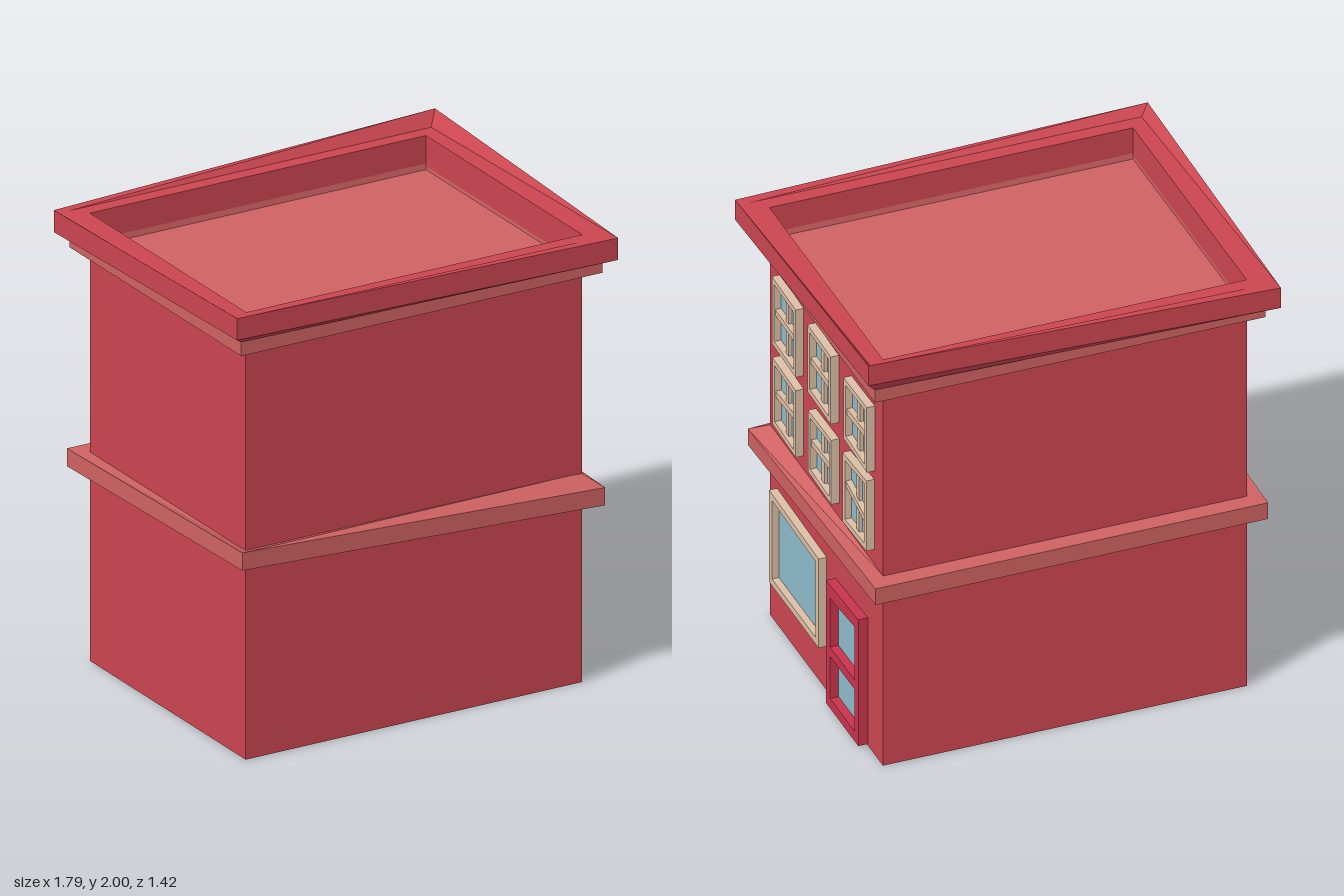
import * as THREE from 'three';

const mat = (color) => new THREE.MeshStandardMaterial({ color, flatShading: true });
const WALL = mat(0xcb4550), TRIM = mat(0xcf6262), DOOR = mat(0xc9344c);
const FRAME = mat(0xdcbfa6), GLASS = mat(0x90bccb);
const FACE = 0.785; // x of the wall that carries the windows
const CORNERS = [[1, 1], [1, -1], [-1, -1], [-1, 1]];

function add(parent, name, geometry, material) {
  const mesh = new THREE.Mesh(geometry, material);
  mesh.name = name;
  parent.add(mesh);
  return mesh;
}

// Rectangular band round the house: section(i) lists [halfX, halfZ, y] at corner i,
// from outer bottom to outer top and back along the inside
function band(section) {
  const rings = CORNERS.map(([sx, sz], i) => section(i).map(([x, z, y]) => [sx * x, y, sz * z]));
  const pos = [];
  for (let i = 0; i < 4; i++) {
    const p = rings[i], q = rings[(i + 1) % 4], n = p.length;
    for (let j = 0; j < n; j++) {
      const k = (j + 1) % n;
      pos.push(...p[j], ...q[j], ...q[k], ...p[j], ...q[k], ...p[k]);
    }
  }
  const g = new THREE.BufferGeometry();
  g.setAttribute('position', new THREE.Float32BufferAttribute(pos, 3));
  g.computeVertexNormals();
  return g;
}

// Crooked panel on the facade; quads are [z left, z right, bottom left, bottom right, top left, top right]
function panel(quad, holes, x0, x1) {
  const pts = ([l, r, bl, br, tl, tr]) =>
    [[-l, bl], [-r, br], [-r, tr], [-l, tl]].map(([a, b]) => new THREE.Vector2(a, b));
  const shape = new THREE.Shape(pts(quad));
  for (const h of holes) shape.holes.push(new THREE.Path(pts(h).reverse()));
  const g = new THREE.ExtrudeGeometry(shape, { depth: x1 - x0, bevelEnabled: false });
  return g.rotateY(Math.PI / 2).translate(x0, 0, 0);
}

const inset = ([l, r, bl, br, tl, tr], d) => [l - d, r + d, bl + d, br + d, tl - d, tr - d];

// Frame with glass behind; bar = [y left, y right] adds a cross of glazing bars
function makeWindow(name, quad, border, bar) {
  const g = new THREE.Group();
  g.name = name;
  const hole = inset(quad, border);
  add(g, 'windowFrame', panel(quad, [hole], FACE - 0.01, 0.82), FRAME);
  add(g, 'windowGlass', panel(hole, [], FACE - 0.01, FACE + 0.005), GLASS);
  if (bar) {
    const [l, r, bl, br, tl, tr] = hole, m = (l + r) / 2, w = 0.014;
    const b = (bl + br) / 2, t = (tl + tr) / 2;
    add(g, 'uprightBar', panel([m + w, m - w, b, b, t, t], [], FACE, 0.805), FRAME);
    add(g, 'crossBar', panel([l, r, bar[0] - w, bar[1] - w, bar[0] + w, bar[1] + w], [], FACE, 0.815), FRAME);
  }
  return g;
}

export function createModel() {
  const house = new THREE.Group();
  house.name = 'townhouse';

  // Walls and flat roof
  add(house, 'walls', new THREE.BoxGeometry(1.575, 1.785, 1.21), WALL).position.set(-0.0025, 0.8925, 0.003);
  add(house, 'roof', new THREE.BoxGeometry(1.59, 0.02, 1.23), TRIM).position.y = 1.785;

  // Crooked ledge between the storeys
  const ledgeBottom = [0.78, 0.83, 0.83, 0.86], ledgeInner = [0.78, 0.83, 0.83, 0.83];
  add(house, 'middleLedge', band((i) => [
    [0.85, 0.682, ledgeBottom[i]], [0.85, 0.682, ledgeBottom[i] + 0.077],
    [0.785, 0.605, 0.907], [0.785, 0.605, ledgeInner[i]],
  ]), TRIM);

  // Straight cornice
  add(house, 'cornice', band(() => [
    [0.846, 0.666, 1.785], [0.846, 0.666, 1.847], [0.79, 0.61, 1.847], [0.785, 0.603, 1.785],
  ]), TRIM);

  // Crooked parapet: level inside, uneven along its outer edge
  const parapetBottom = [1.847, 1.905, 1.845, 1.88];
  add(house, 'parapet', band((i) => [
    [0.893, 0.712, parapetBottom[i]], [0.893, 0.712, parapetBottom[i] + 0.095],
    [0.85, 0.67, 1.942], [0.787, 0.607, 1.942], [0.787, 0.607, 1.79], [0.846, 0.666, 1.846],
  ]), WALL);

  // Two rows of upstairs windows
  const upper = [
    [[0.5, 0.245, 1.365, 1.355, 1.685, 1.677], [1.527, 1.522]],
    [[0.12, -0.13, 1.363, 1.355, 1.683, 1.677], [1.525, 1.52]],
    [[-0.265, -0.515, 1.37, 1.355, 1.66, 1.665], [1.51, 1.517]],
    [[0.495, 0.245, 0.985, 0.973, 1.302, 1.292], [1.14, 1.15]],
    [[0.115, -0.135, 0.985, 0.975, 1.277, 1.282], [1.135, 1.138]],
    [[-0.255, -0.51, 0.967, 0.977, 1.297, 1.312], [1.16, 1.11]],
  ];
  upper.forEach(([quad, bar]) => house.add(makeWindow('upstairsWindow', quad, 0.025, bar)));

  // Shop window
  house.add(makeWindow('shopWindow', [0.53, 0, 0.21, 0.21, 0.648, 0.635], 0.032));

  // Door with two panes
  const door = new THREE.Group();
  door.name = 'door';
  const panes = [[-0.14, -0.4, 0.3, 0.3, 0.532, 0.553], [-0.14, -0.4, 0.055, 0.055, 0.255, 0.255]];
  add(door, 'doorPanel', panel([-0.095, -0.442, 0.008, 0.008, 0.592, 0.61], panes, FACE - 0.01, 0.827), DOOR);
  for (const p of panes) add(door, 'doorGlass', panel(p, [], FACE - 0.01, FACE + 0.005), GLASS);
  house.add(door);

  return house;
}
